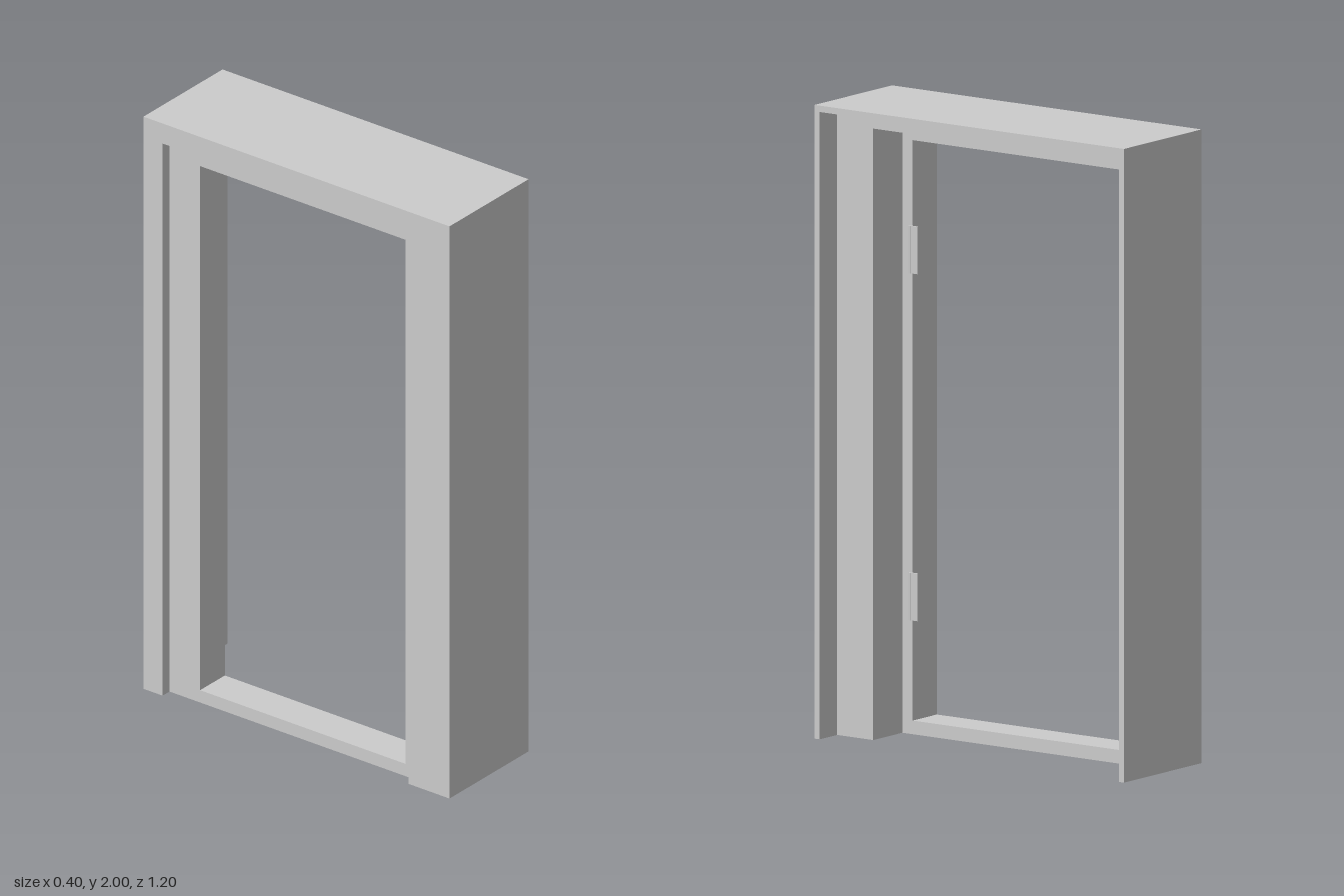
import * as THREE from 'three';

const material = new THREE.MeshStandardMaterial({ color: 0xcccccc, side: THREE.DoubleSide });

// Lines of the frame section: position of each on the front jamb, back jamb and head
const LEVELS = {
  outer: { front: 0.6, back: -0.6, top: 2 },
  flange: { front: 0.58, back: -0.58, top: 1.98 },
  rebate: { front: 0.44, back: -0.525, top: 1.93 },
  opening: { front: 0.4, back: -0.405, top: 1.875 },
};

// Closed hollow section, as x and level
const SECTION = [
  [0.2, 'outer'], [0.2, 'flange'], [0.11, 'flange'], [0.11, 'rebate'],
  [-0.04, 'rebate'], [-0.04, 'opening'], [-0.165, 'opening'],
  [-0.165, 'rebate'], [-0.2, 'rebate'], [-0.2, 'outer'],
];

// Section swept up one jamb, across the head and down the other, mitred at the corners
function sweepFrame() {
  const rings = SECTION.map(([x, name]) => {
    const { front, back, top } = LEVELS[name];
    return [[x, 0, front], [x, top, front], [x, top, back], [x, 0, back]];
  });
  const positions = [];
  rings.forEach((a, i) => {
    const b = rings[(i + 1) % rings.length];
    for (let s = 0; s < 3; s++) {
      positions.push(...a[s], ...b[s], ...b[s + 1], ...a[s], ...b[s + 1], ...a[s + 1]);
    }
  });
  const geometry = new THREE.BufferGeometry();
  geometry.setAttribute('position', new THREE.Float32BufferAttribute(positions, 3));
  // Turn the faces outward
  for (let i = 0; i < positions.length; i += 9) {
    for (let k = 0; k < 3; k++) {
      const p = geometry.attributes.position.array;
      [p[i + 3 + k], p[i + 6 + k]] = [p[i + 6 + k], p[i + 3 + k]];
    }
  }
  geometry.computeVertexNormals();
  return geometry;
}

function add(parent, name, geometry, x = 0, y = 0, z = 0) {
  const mesh = new THREE.Mesh(geometry, material);
  mesh.name = name;
  mesh.position.set(x, y, z);
  parent.add(mesh);
  return mesh;
}

export function createModel() {
  const model = new THREE.Group();
  model.name = 'doorFrame';

  // Jambs and head
  add(model, 'frame', sweepFrame());

  // Sill, an upturned channel open underneath
  const { front, back } = LEVELS.opening;
  const length = front - back, middle = (front + back) / 2;
  const sill = new THREE.Group();
  sill.name = 'sill';
  model.add(sill);
  add(sill, 'sillTop', new THREE.PlaneGeometry(0.125, length).rotateX(-Math.PI / 2), -0.1025, 0.043, middle);
  for (const [name, x, turn] of [['sillInnerFace', -0.04, 1], ['sillOuterFace', -0.165, -1]]) {
    add(sill, name, new THREE.PlaneGeometry(length, 0.043).rotateY(turn * Math.PI / 2), x, 0.0215, middle);
  }

  // Hinges: a thin leaf and its knuckle on the front jamb
  for (const y of [0.435, 1.53]) {
    const hinge = new THREE.Group();
    hinge.name = 'hinge';
    hinge.position.set(-0.037, y, 0);
    add(hinge, 'hingeLeaf', new THREE.BoxGeometry(0.006, 0.15, 0.03), 0, 0, 0.391);
    add(hinge, 'hingeKnuckle', new THREE.CylinderGeometry(0.006, 0.006, 0.15, 12), 0, 0, 0.406);
    model.add(hinge);
  }
  return model;
}
